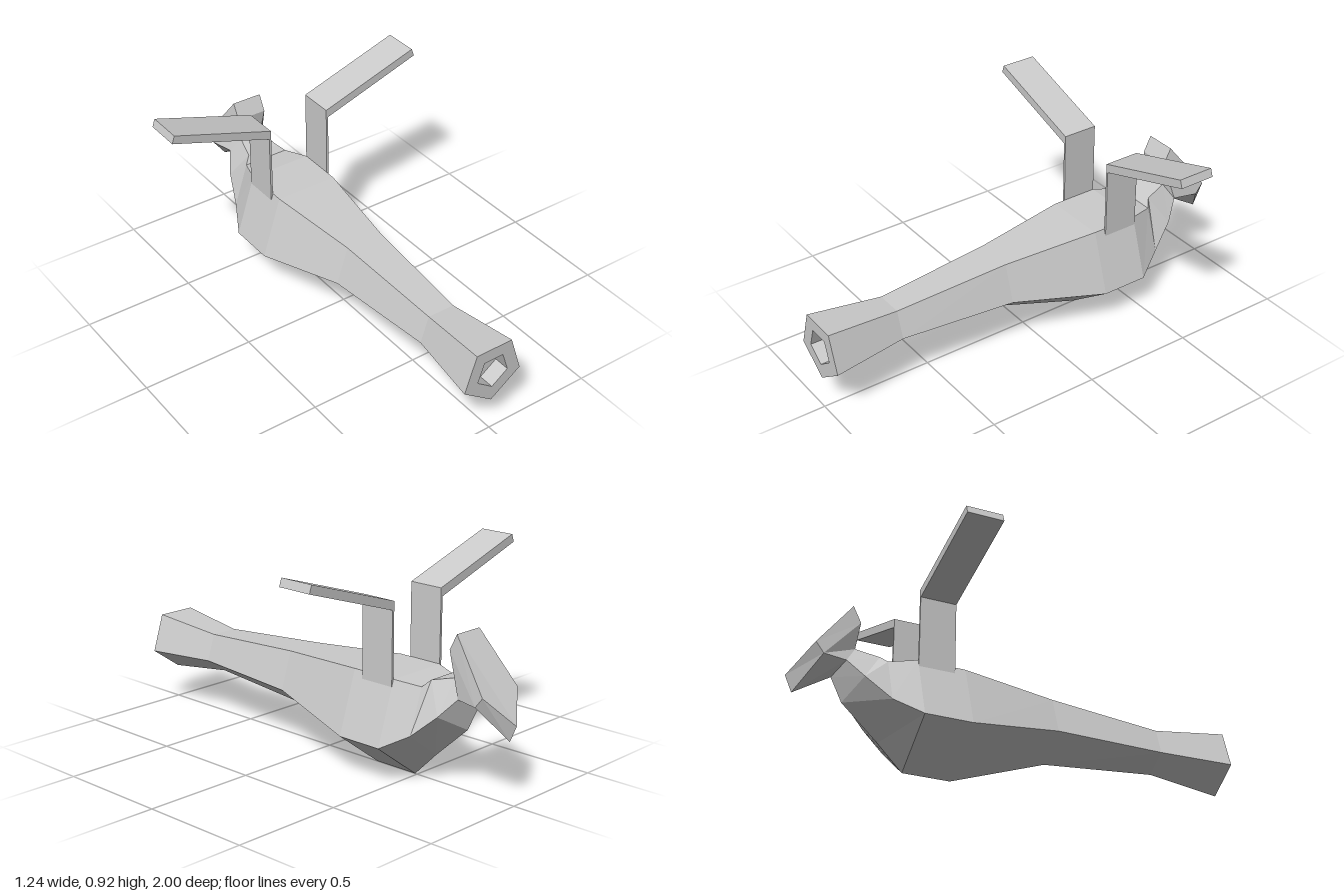
import * as THREE from 'three';

const material = new THREE.MeshStandardMaterial({ color: 0xcccccc, flatShading: true });

// Five-sided ring: flat edge on top, point at the bottom.
// Each corner level is given as [halfWidth, y, z].
function ring([wt, yt, zt], [wm, ym, zm], [yb, zb]) {
  return [[wt, yt, zt], [wm, ym, zm], [0, yb, zb], [-wm, ym, zm], [-wt, yt, zt]];
}

// Upright ring, all corners at the same z
const flat = (z, wt, yt, wm, ym, yb) => ring([wt, yt, z], [wm, ym, z], [yb, z]);

// Skin the rings and close both ends
function loft(rings) {
  const positions = [];
  const tri = (a, b, c) => positions.push(...a, ...b, ...c);
  const n = rings[0].length;
  for (let i = 0; i < rings.length - 1; i++) {
    const a = rings[i], b = rings[i + 1];
    for (let j = 0; j < n; j++) {
      const k = (j + 1) % n;
      tri(a[j], a[k], b[j]);
      tri(a[k], b[k], b[j]);
    }
  }
  const first = rings[0], last = rings[rings.length - 1];
  for (let j = 1; j < n - 1; j++) {
    tri(first[0], first[j + 1], first[j]);
    tri(last[0], last[j], last[j + 1]);
  }
  const geometry = new THREE.BufferGeometry();
  geometry.setAttribute('position', new THREE.Float32BufferAttribute(positions, 3));
  geometry.computeVertexNormals();
  return geometry;
}

export function createModel() {
  const group = new THREE.Group();
  const add = (name, geometry) => {
    const mesh = new THREE.Mesh(geometry, material);
    mesh.name = name;
    group.add(mesh);
  };

  // Body with a recessed front opening, rising into the neck and tilted head
  add('body', loft([
    flat(0.93, 0.046, 0.36, 0.075, 0.273, 0.218), // recess floor
    flat(1, 0.046, 0.36, 0.075, 0.273, 0.218),    // recess rim
    flat(1, 0.087, 0.415, 0.14, 0.25, 0.15),      // front end
    flat(0.67, 0.062, 0.38, 0.1, 0.263, 0.195),
    flat(0.15, 0.087, 0.415, 0.14, 0.25, 0.15),
    flat(-0.28, 0.143, 0.442, 0.231, 0.17, 0),    // widest part
    flat(-0.49, 0.143, 0.442, 0.231, 0.17, 0),
    ring([0.105, 0.427, -0.605], [0.17, 0.235, -0.605], [0.11, -0.6]),
    ring([0.075, 0.455, -0.63], [0.13, 0.33, -0.71], [0.257, -0.76]),  // neck
    ring([0.052, 0.48, -0.73], [0.085, 0.407, -0.775], [0.36, -0.81]),
    ring([0.069, 0.595, -0.715], [0.11, 0.405, -0.88], [0.26, -0.97]), // head
    ring([0.069, 0.665, -0.75], [0.11, 0.45, -0.915], [0.33, -1]),
  ]));

  // Bent arms: thin upright with an outward sloping blade
  const profile = [[0.143, 0.4], [0.153, 0.4], [0.153, 0.728], [0.618, 0.88], [0.606, 0.915], [0.143, 0.765]];
  for (const side of [1, -1]) {
    const shape = new THREE.Shape(profile.map(([x, y]) => new THREE.Vector2(side * x, y)));
    const arm = new THREE.ExtrudeGeometry(shape, { depth: 0.16, bevelEnabled: false });
    arm.translate(0, 0, -0.49);
    add(side > 0 ? 'leftArm' : 'rightArm', arm);
  }
  return group;
}
